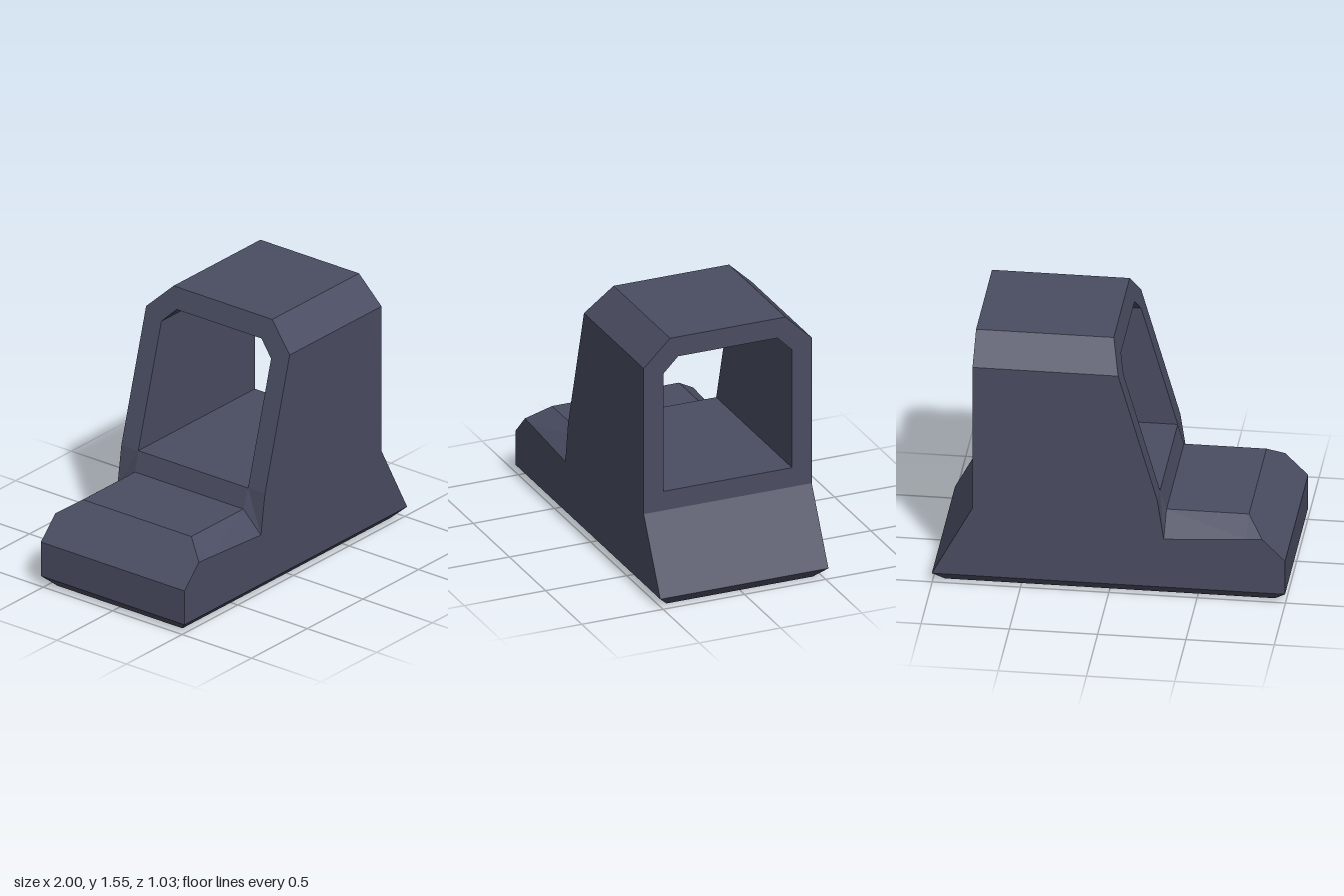
import * as THREE from 'three';

const HALF = 0.517; // half width of the body
const SILL = 0.613; // height of the opening's floor

export function createModel() {
  const group = new THREE.Group();
  const slate = new THREE.MeshStandardMaterial({ color: 0x4a4d62, flatShading: true });
  slate.name = 'slate';

  const add = (name, geometry) => {
    const mesh = new THREE.Mesh(geometry, slate);
    mesh.name = name;
    group.add(mesh);
  };

  // Foot: a slab whose underside is bevelled inwards
  const foot = new THREE.BoxGeometry(2, 0.065, HALF * 2).translate(0, 0.0325, 0);
  const fp = foot.attributes.position;
  for (let i = 0; i < fp.count; i++) {
    if (fp.getY(i) < 0.01) fp.setXYZ(i, Math.sign(fp.getX(i)) * 0.935, 0, Math.sign(fp.getZ(i)) * 0.45);
  }
  foot.computeVertexNormals();
  add('foot', foot);

  // Base: cross-sections along x, each [x, shoulder height, top half width, top height]
  const stations = [
    [-1, 0.065, HALF, 0.065],
    [-1, 0.275, HALF, 0.275],
    [-0.87, 0.405, HALF, 0.405],
    [-0.78, 0.4, 0.39, 0.495],
    [-0.313, 0.37, 0.39, 0.495],
    [-0.277, SILL, 0.395, SILL],
    [0.77, SILL, 0.395, SILL],
    [0.77, 0.495, 0.395, 0.495],
    [1, 0.065, HALF, 0.065],
  ].map(([x, s, t, y]) => [
    [x, 0.065, HALF], [x, s, HALF], [x, y, t],
    [x, y, -t], [x, s, -HALF], [x, 0.065, -HALF],
  ]);
  // The shoulder spans the full width on the rear slope
  stations[7][2][2] = HALF;
  stations[7][3][2] = -HALF;
  const verts = [];
  for (let i = 0; i < stations.length - 1; i++) {
    const a = stations[i], b = stations[i + 1];
    for (let j = 0; j < 5; j++) {
      // mirror the diagonal on the far side
      if (j < 3) verts.push(...a[j], ...b[j], ...b[j + 1], ...a[j], ...b[j + 1], ...a[j + 1]);
      else verts.push(...a[j], ...b[j], ...a[j + 1], ...b[j], ...b[j + 1], ...a[j + 1]);
    }
  }
  const base = new THREE.BufferGeometry();
  base.setAttribute('position', new THREE.Float32BufferAttribute(verts, 3));
  base.computeVertexNormals();
  add('base', base);

  // Hood: a bevelled arch run along x, with its low end raked
  const half = [[HALF, SILL], [HALF, 1.393], [0.355, 1.55]];
  const inner = [[0.305, 1.43], [0.395, 1.34], [0.395, SILL]];
  const mirror = (pts) => pts.map(([z, y]) => [-z, y]).reverse();
  const outline = [...half, ...mirror(half), ...mirror(inner), ...inner];
  const shape = new THREE.Shape(outline.map(([z, y]) => new THREE.Vector2(z, y)));
  const hood = new THREE.ExtrudeGeometry(shape, { depth: 1, bevelEnabled: false });
  hood.rotateY(Math.PI / 2);
  const hp = hood.attributes.position;
  for (let i = 0; i < hp.count; i++) {
    hp.setX(i, hp.getX(i) > 0.5 ? 0.77 : -0.01 - (1.55 - hp.getY(i)) * 0.285);
  }
  hood.computeVertexNormals();
  add('hood', hood);

  return group;
}
